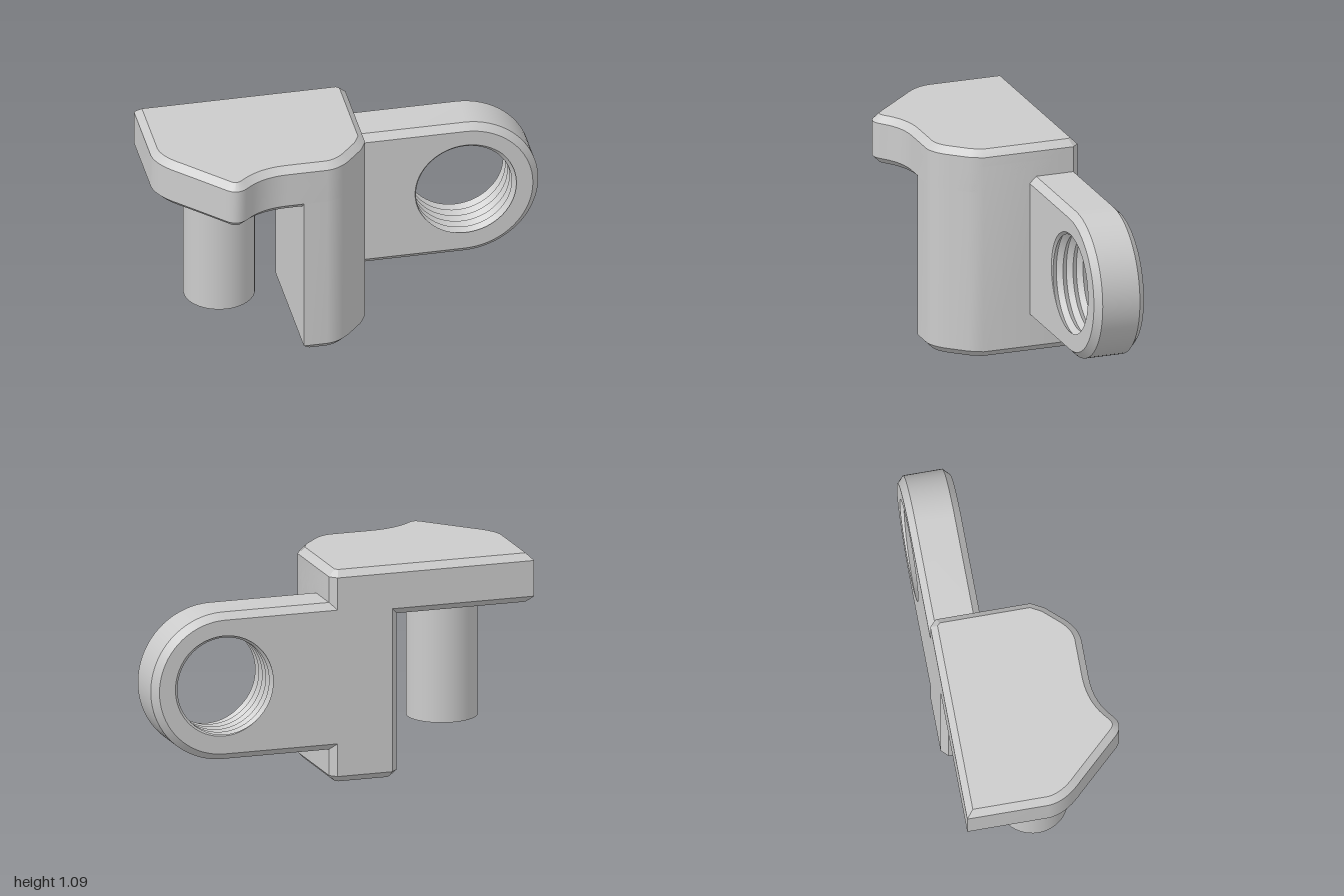
import * as THREE from 'three';
import { toCreasedNormals } from 'three/addons/utils/BufferGeometryUtils.js';

const grey = new THREE.MeshStandardMaterial({ color: 0xcccccc });
const CHAMFER = 0.034;

function part(name, geometry) {
  const mesh = new THREE.Mesh(geometry, grey);
  mesh.name = name;
  return mesh;
}

function fromTriangles(positions) {
  const g = new THREE.BufferGeometry();
  g.setAttribute('position', new THREE.Float32BufferAttribute(positions, 3));
  return toCreasedNormals(g, 0.5);
}

// Moves a counter-clockwise outline inwards, mitred at the corners
function inset(points, d) {
  const n = points.length;
  const normal = (a, b) => new THREE.Vector2(a.y - b.y, b.x - a.x).normalize();
  return points.map((p, i) => {
    const n1 = normal(points[(i + n - 1) % n], p);
    const n2 = normal(p, points[(i + 1) % n]);
    const k = d / (1 + n1.dot(n2));
    return p.clone().add(n1.add(n2).multiplyScalar(k));
  });
}

// Prism along z with both rims chamfered and optional holes in the end faces
function chamferedPrism(shape, z0, z1, holes = []) {
  let outline = shape.getPoints(10);
  if (outline[0].distanceTo(outline[outline.length - 1]) < 1e-5) outline.pop();
  outline = outline.filter((p, i) => i === 0 || p.distanceTo(outline[i - 1]) > 1e-5);
  if (THREE.ShapeUtils.isClockWise(outline)) outline.reverse();
  const small = inset(outline, CHAMFER);
  const rings = [[small, z0], [outline, z0 + CHAMFER], [outline, z1 - CHAMFER], [small, z1]];
  const pos = [];
  const put = (p, z) => pos.push(p.x, p.y, z);
  for (let r = 0; r < 3; r++) {
    const [lo, za] = rings[r], [hi, zb] = rings[r + 1];
    lo.forEach((a, i) => {
      const j = (i + 1) % lo.length;
      put(a, za); put(lo[j], za); put(hi[j], zb);
      put(a, za); put(hi[j], zb); put(hi[i], zb);
    });
  }
  const all = [small, ...holes].flat();
  for (const [a, b, c] of THREE.ShapeUtils.triangulateShape(small, holes)) {
    const ccw = THREE.ShapeUtils.area([all[a], all[b], all[c]]) > 0;
    const [p, q, s] = (ccw ? [a, b, c] : [a, c, b]).map(i => all[i]);
    put(p, z1); put(q, z1); put(s, z1);
    put(p, z0); put(s, z0); put(q, z0);
  }
  return fromTriangles(pos);
}

// Threaded bore: a triangular groove that winds along z
const EAR = { x: 0.623, y: 0.545, r: 0.377, back: -0.42, front: -0.155 };
const TURNS = 5, STEPS = 72, PHASE = 0.625;
const PITCH = (EAR.front - EAR.back) / TURNS;

function boreRadius(angle, z) {
  const u = z / PITCH - angle / (2 * Math.PI) + PHASE;
  const t = u - Math.floor(u);
  return 0.245 + 0.023 * (1 - Math.abs(2 * t - 1));
}

function borePoint(step, z) {
  const a = step / STEPS * 2 * Math.PI;
  const r = boreRadius(a, z);
  return new THREE.Vector3(EAR.x - 0.003 + r * Math.cos(a), EAR.y + r * Math.sin(a), EAR.back + z);
}

function threadGeometry() {
  const pos = [];
  const at = (i, j) => {
    const z = PITCH * (j / 2 + i / STEPS - PHASE);
    return borePoint(i, THREE.MathUtils.clamp(z, 0, PITCH * TURNS));
  };
  const tri = (a, b, c) => {
    const area = b.clone().sub(a).cross(c.clone().sub(a)).length();
    if (area > 1e-9) for (const p of [a, b, c]) pos.push(p.x, p.y, p.z);
  };
  for (let i = 0; i < STEPS; i++) {
    for (let j = -3; j < 2 * TURNS + 3; j++) {
      const a = at(i, j), b = at(i + 1, j), c = at(i + 1, j + 1), d = at(i, j + 1);
      tri(a, d, b);
      tri(b, d, c);
    }
  }
  return fromTriangles(pos);
}

// Front right contour shared by plate and leg (shape y is minus world z)
function frontRightContour(shape) {
  shape.lineTo(-0.17, -0.305);
  shape.quadraticCurveTo(-0.1, -0.3, -0.04, -0.232);
  shape.lineTo(0.03, -0.155);
  shape.lineTo(0.065, -0.09);
  shape.lineTo(0.065, 0.42 - CHAMFER);
  shape.lineTo(0.065 - CHAMFER, 0.42);
}

function plateShape() {
  const s = new THREE.Shape();
  s.moveTo(-1, 0.42);
  s.lineTo(-1, 0.01);
  s.quadraticCurveTo(-0.995, -0.08, -0.9, -0.17);
  s.lineTo(-0.705, -0.375);
  s.quadraticCurveTo(-0.65, -0.44, -0.585, -0.38);
  s.quadraticCurveTo(-0.5, -0.305, -0.37, -0.305);
  frontRightContour(s);
  s.closePath();
  return s;
}

function legShape() {
  const s = new THREE.Shape();
  s.moveTo(-0.29 + CHAMFER, 0.42);
  s.lineTo(-0.29, 0.42 - CHAMFER);
  s.lineTo(-0.29, -0.305);
  frontRightContour(s);
  s.closePath();
  return s;
}

function earShape() {
  const s = new THREE.Shape();
  s.moveTo(-0.05, EAR.y - EAR.r);
  for (let i = 0; i <= 36; i++) {
    const a = (i / 36 - 0.5) * Math.PI;
    s.lineTo(EAR.x + EAR.r * Math.cos(a), EAR.y + EAR.r * Math.sin(a));
  }
  s.lineTo(-0.05, EAR.y + EAR.r);
  s.closePath();
  return s;
}

export function createModel() {
  const model = new THREE.Group();
  model.name = 'bracket';

  // Top plate and the leg under its right end
  model.add(part('topPlate', chamferedPrism(plateShape(), 0.836, 1.087).rotateX(-Math.PI / 2)));
  model.add(part('leg', chamferedPrism(legShape(), 0, 1.04).rotateX(-Math.PI / 2)));

  // Side ear with threaded hole
  const rim = [];
  for (let i = 0; i < STEPS; i++) {
    const p = borePoint(i, 0);
    rim.push(new THREE.Vector2(p.x, p.y));
  }
  model.add(part('ear', chamferedPrism(earShape(), EAR.back, EAR.front, [rim])));
  model.add(part('thread', threadGeometry()));

  // Round peg with a flared collar where it meets the plate
  const peg = part('peg', new THREE.CylinderGeometry(0.178, 0.178, 0.66, 48));
  peg.position.set(-0.65, 0.53, -0.03);
  const collar = part('pegCollar', new THREE.CylinderGeometry(0.215, 0.178, 0.037, 48, 1, true));
  collar.position.set(-0.65, 0.8185, -0.03);
  model.add(peg, collar);

  return model;
}
